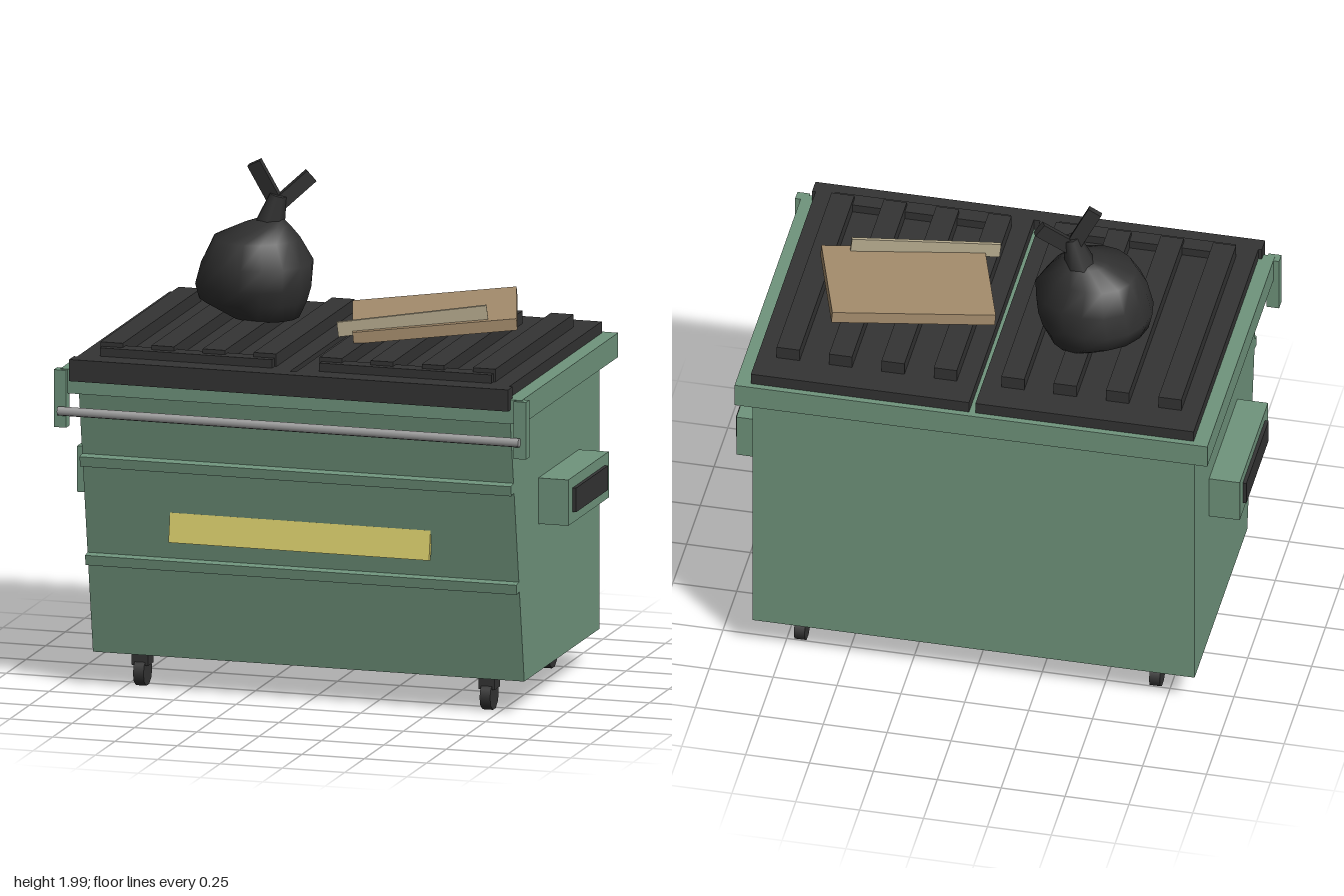
import * as THREE from 'three';

const mat = (name, color, flatShading = false) => {
  const m = new THREE.MeshStandardMaterial({ color, flatShading });
  m.name = name;
  return m;
};

export function createModel() {
  const green = mat('green paint', 0x70957d);
  const black = mat('black plastic', 0x343434);
  const bagBlack = mat('bag black', 0x303030);
  const steel = mat('steel', 0x9c9c9c);
  const yellow = mat('yellow label', 0xdace6c);
  const card = mat('cardboard', 0xa58d6d);
  const cardLight = mat('light cardboard', 0xb6ab8e);

  const root = new THREE.Group();
  root.name = 'dumpster';
  const add = (name, geo, m, x = 0, y = 0, z = 0) => {
    const mesh = new THREE.Mesh(geo, m);
    mesh.name = name;
    mesh.position.set(x, y, z);
    root.add(mesh);
    return mesh;
  };
  // box from its min and max on each axis
  const box = (name, m, x0, x1, y0, y1, z0, z1) =>
    add(name, new THREE.BoxGeometry(x1 - x0, y1 - y0, z1 - z0), m,
      (x0 + x1) / 2, (y0 + y1) / 2, (z0 + z1) / 2);

  // Body: side outline with a sloping front, extruded across the width
  const side = new THREE.Shape(
    [[-0.37, 0.14], [0.59, 0.14], [0.59, 1.22], [-0.553, 1.22]].map(p => new THREE.Vector2(...p)));
  const bodyGeo = new THREE.ExtrudeGeometry(side, { depth: 1.73, bevelEnabled: false });
  bodyGeo.translate(0, 0, -0.865).rotateY(Math.PI / 2);
  add('body', bodyGeo, green);
  box('rim', green, -0.925, 0.925, 1.2, 1.295, -0.637, 0.595);

  // Front ribs and label
  const slope = Math.atan(0.18 / 1.06);
  for (const [y, z] of [[0.925, 0.518], [0.523, 0.448]]) {
    add('frontRib', new THREE.BoxGeometry(1.73, 0.04, 0.04), green, 0, y, z).rotation.x = slope;
  }
  add('label', new THREE.BoxGeometry(1.045, 0.115, 0.02), yellow, -0.002, 0.672, 0.471).rotation.x = -slope;

  // Lids with raised ribs
  box('lidFrontLip', black, -0.88, 0.88, 1.255, 1.34, 0.565, 0.625);
  for (const s of [-1, 1]) {
    const c = s * 0.4395;
    box('lid', black, c - 0.427, c + 0.427, 1.28, 1.34, -0.613, 0.57);
    for (let i = 0; i < 4; i++) {
      const x = c + (i - 1.5) * 0.205;
      box('lidRib', black, x - 0.045, x + 0.045, 1.33, 1.39, -0.49, 0.507);
    }
    box('lidCrossRib', black, c - 0.345, c + 0.345, 1.33, 1.373, 0.47, 0.535);
  }

  // Lift pockets, bar brackets and casters
  for (const s of [-1, 1]) {
    add('liftPocket', new THREE.BoxGeometry(0.13, 0.18, 0.515), green, s * 0.92, 0.81, -0.068);
    add('pocketOpening', new THREE.BoxGeometry(0.04, 0.095, 0.405), black, s * 0.979, 0.81, -0.068);
    add('barBracket', new THREE.BoxGeometry(0.05, 0.225, 0.042), green, s * 0.922, 1.18, 0.588);
    for (const z of [0.278, -0.475]) {
      add('casterMount', new THREE.BoxGeometry(0.066, 0.06, 0.066), black, s * 0.695, 0.115, z);
      const wheel = new THREE.CylinderGeometry(0.056, 0.056, 0.042, 10).rotateZ(Math.PI / 2);
      add('casterWheel', wheel, black, s * 0.695, 0.056, z);
    }
  }
  const bar = new THREE.CylinderGeometry(0.018, 0.018, 1.85, 8).rotateZ(Math.PI / 2);
  add('frontBar', bar, steel, 0, 1.135, 0.624);

  // Rubbish bag: slumped rings of [y, xMin, xMax, zMin, zMax]
  const rings = [
    [1.375, -0.38, -0.26, -0.19, -0.09], [1.385, -0.46, -0.2, -0.28, -0.01],
    [1.45, -0.592, -0.172, -0.335, 0.04], [1.51, -0.608, -0.155, -0.342, 0.06],
    [1.6, -0.585, -0.15, -0.34, 0.07], [1.69, -0.54, -0.205, -0.295, 0.015],
    [1.74, -0.43, -0.245, -0.225, -0.08], [1.76, -0.37, -0.27, -0.2, -0.13],
  ];
  const n = 16, pos = [], idx = [];
  for (const [y, x0, x1, z0, z1] of rings) {
    for (let j = 0; j < n; j++) {
      const a = (j / n) * Math.PI * 2;
      const lump = 1 + 0.025 * Math.sin(3 * a + y * 9);
      pos.push((x0 + x1) / 2 + (x1 - x0) / 2 * Math.cos(a) * lump, y,
        (z0 + z1) / 2 + (z1 - z0) / 2 * Math.sin(a) * lump);
    }
  }
  for (let r = 0; r < rings.length - 1; r++) {
    for (let j = 0; j < n; j++) {
      const a = r * n + j, b = r * n + (j + 1) % n;
      idx.push(a, a + n, b, b, a + n, b + n);
    }
  }
  const top = (rings.length - 1) * n;
  for (let j = 1; j < n - 1; j++) idx.push(0, j, j + 1, top, top + j + 1, top + j);
  const bagGeo = new THREE.BufferGeometry();
  bagGeo.setAttribute('position', new THREE.Float32BufferAttribute(pos, 3));
  bagGeo.setIndex(idx);
  bagGeo.computeVertexNormals();
  add('rubbishBag', bagGeo, bagBlack);

  // Tied neck and two loose ends, each aligned from one point to another
  const span = (name, make, from, to) => {
    const a = new THREE.Vector3(...from), b = new THREE.Vector3(...to);
    const d = b.clone().sub(a);
    const mesh = add(name, make(d.length()), bagBlack);
    mesh.position.copy(a).lerp(b, 0.5);
    mesh.quaternion.setFromUnitVectors(new THREE.Vector3(0, 1, 0), d.normalize());
    return mesh;
  };
  span('bagNeck', h => new THREE.CylinderGeometry(0.034, 0.062, h, 7),
    [-0.33, 1.725, -0.172], [-0.293, 1.855, -0.172]);
  span('bagTie', h => new THREE.BoxGeometry(0.056, h, 0.028),
    [-0.295, 1.81, -0.18], [-0.382, 1.98, -0.152]);
  span('bagTie', h => new THREE.BoxGeometry(0.056, h, 0.028).rotateY(0.5),
    [-0.31, 1.8, -0.17], [-0.18, 1.925, -0.235]);

  // Flattened cardboard box with a raised flap
  add('cardboardBox', new THREE.BoxGeometry(0.63, 0.046, 0.457), card, 0.367, 1.447, -0.075)
    .rotation.set(0.05, 0.3, 0.088, 'YZX');
  add('cardboardFlap', new THREE.BoxGeometry(0.577, 0.058, 0.014), cardLight, 0.345, 1.471, 0.143)
    .rotation.set(0.05, 0.305, 0.115, 'YZX');

  return root;
}
